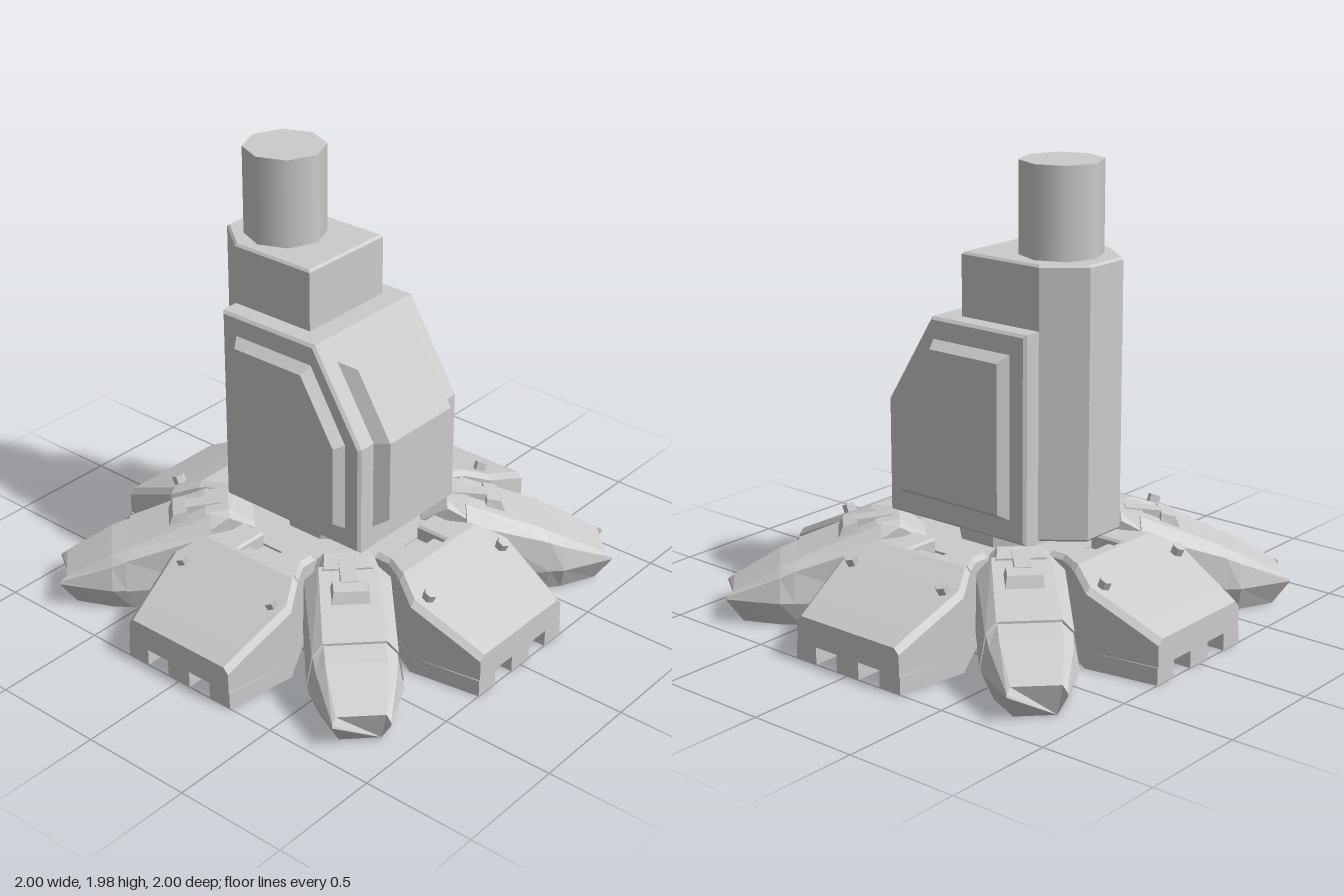
import * as THREE from 'three';

const grey = new THREE.MeshStandardMaterial({ color: 0xcccccc, flatShading: true });
const smooth = new THREE.MeshStandardMaterial({ color: 0xcccccc });

function add(parent, name, geometry, material = grey) {
  const mesh = new THREE.Mesh(geometry, material);
  mesh.name = name;
  parent.add(mesh);
  return mesh;
}

// Skin a list of equal-length closed rings of [x, y, z], capped at both ends.
function loft(rings) {
  const tris = [];
  const n = rings[0].length;
  for (let i = 0; i < rings.length - 1; i++) {
    const a = rings[i], b = rings[i + 1];
    for (let j = 0; j < n; j++) {
      const k = (j + 1) % n;
      tris.push([a[j], a[k], b[k]], [a[j], b[k], b[j]]);
    }
  }
  const first = rings[0], last = rings[rings.length - 1];
  for (let j = 1; j < n - 1; j++) {
    tris.push([first[0], first[j + 1], first[j]], [last[0], last[j], last[j + 1]]);
  }
  // Signed volume decides whether the faces point outward
  const v = (p) => new THREE.Vector3(...p);
  const volume = tris.reduce((s, [a, b, c]) => s + v(a).dot(v(b).cross(v(c))), 0);
  const points = tris.flatMap(([a, b, c]) => (volume < 0 ? [a, c, b] : [a, b, c]));
  const g = new THREE.BufferGeometry();
  g.setAttribute('position', new THREE.Float32BufferAttribute(points.flat(), 3));
  g.computeVertexNormals();
  return g;
}

function extrude(points, depth, bevel) {
  const shape = new THREE.Shape(points.map((p) => new THREE.Vector2(...p)));
  const g = new THREE.ExtrudeGeometry(shape, {
    depth: depth - 2 * bevel, bevelEnabled: bevel > 0, bevelThickness: bevel,
    bevelSize: bevel, bevelOffset: -bevel, bevelSegments: 1,
  });
  return g.translate(0, 0, bevel);
}

// Extrude a plan of [x, z] upward from y0 to y1
function plan(points, y0, y1, bevel = 0) {
  return extrude(points.map(([x, z]) => [x, -z]), y1 - y0, bevel)
    .rotateX(-Math.PI / 2).translate(0, y0, 0);
}

function box(x0, x1, y0, y1, z0, z1) {
  return new THREE.BoxGeometry(x1 - x0, y1 - y0, z1 - z0)
    .translate((x0 + x1) / 2, (y0 + y1) / 2, (z0 + z1) / 2);
}

// Foot section at distance z, spanning x = a..b, with chamfered top edges
function footRing([z, a, b, h, ca = 0.025, cb = 0.025]) {
  return [[a, 0.075, z], [b, 0.075, z], [b, h - cb, z], [b - cb, h, z], [a + ca, h, z], [a, h - ca, z]];
}

function createFoot() {
  const foot = new THREE.Group();
  foot.name = 'foot';
  add(foot, 'footTop', loft([
    [1.0, -0.28, 0.28, 0.19], [0.91, -0.295, 0.295, 0.235], [0.68, -0.335, 0.335, 0.345],
    [0.57, -0.272, 0.272, 0.395], [0.55, -0.26, 0.26, 0.395],
  ].map(footRing)));
  // Toothed sole with an open slot at the inner end
  const half = [[0.06, 1.0], [0.06, 0.88], [0.175, 0.88], [0.175, 1.0], [0.285, 1.0],
    [0.335, 0.68], [0.21, 0.46], [0.21, 0.39], [0.075, 0.39], [0.075, 0.55]];
  const mirrored = half.map(([x, z]) => [-x, z]).reverse();
  add(foot, 'sole', plan([...half, ...mirrored], 0, 0.075));
  for (const s of [-1, 1]) {
    const arm = [[0.55, 0.26], [0.46, 0.21], [0.39, 0.21]].map(([z, w]) =>
      footRing([z, 0.075, w, 0.395, 0.01, 0.02]).map(([x, y, d]) => [s * x, y, d]));
    add(foot, 'innerArm', loft(arm));
    const bolt = add(foot, 'bolt', new THREE.CylinderGeometry(0.028, 0.028, 0.06, 6));
    bolt.position.set(s * 0.25, 0.34, 0.705);
    bolt.rotation.x = 0.445;
  }
  add(foot, 'hubTongue', box(-0.073, 0.073, 0.05, 0.33, 0.3, 0.48));
  add(foot, 'slotFloor', box(-0.073, 0.073, 0.08, 0.37, 0.48, 0.555));
  return foot;
}

// Leg section: sole, widest line, shoulder and top, as [z, halfWidth, y]
function legRing(levels) {
  return [...levels.map(([z, w, y]) => [w, y, z]),
    ...levels.map(([z, w, y]) => [-w, y, z]).reverse()];
}

function createLeg() {
  const leg = new THREE.Group();
  leg.name = 'diagonalLeg';
  add(leg, 'legBody', loft([
    [[0.55, 0.15, 0], [0.55, 0.185, 0.11], [0.55, 0.18, 0.36], [0.55, 0.12, 0.425]],
    [[0.9, 0.16, 0], [0.92, 0.197, 0.11], [0.92, 0.175, 0.245], [0.9, 0.13, 0.29]],
  ].map(legRing)));
  add(leg, 'legToe', loft([
    [[0.9, 0.155, 0], [0.92, 0.192, 0.11], [0.92, 0.17, 0.24], [0.9, 0.125, 0.28]],
    [[0.98, 0.145, 0], [0.98, 0.192, 0.11], [0.98, 0.165, 0.215], [0.98, 0.125, 0.25]],
    [[1.14, 0.085, 0], [1.21, 0.117, 0.11], [1.205, 0.115, 0.12], [1.18, 0.1, 0.14]],
  ].map(legRing)));
  // Neck towards the hub
  add(leg, 'legNeck', loft([
    [[0.36, 0.07, 0.06], [0.36, 0.09, 0.11], [0.36, 0.09, 0.34], [0.36, 0.07, 0.36]],
    [[0.47, 0.09, 0.03], [0.47, 0.12, 0.11], [0.47, 0.12, 0.41], [0.47, 0.09, 0.44]],
    [[0.57, 0.12, 0.01], [0.57, 0.15, 0.11], [0.57, 0.15, 0.36], [0.57, 0.1, 0.425]],
  ].map(legRing)));
  // T-shaped clip on the top face
  add(leg, 'clipStem', loft([
    [[0.5, 0.04, 0.38], [0.5, 0.035, 0.44]], [[0.66, 0.04, 0.36], [0.66, 0.035, 0.42]],
  ].map(legRing)));
  add(leg, 'clipHead', loft([
    [[0.64, 0.09, 0.35], [0.65, 0.07, 0.42]], [[0.75, 0.09, 0.3], [0.71, 0.07, 0.405]],
  ].map(legRing)));
  return leg;
}

export function createModel() {
  const model = new THREE.Group();
  model.name = 'pedestalTower';

  // Base: four broad feet with four legs between them
  for (let i = 0; i < 4; i++) {
    const foot = createFoot();
    foot.rotation.y = i * Math.PI / 2;
    const leg = createLeg();
    leg.rotation.y = (i + 0.5) * Math.PI / 2;
    model.add(foot, leg);
  }
  const hub = add(model, 'hub', new THREE.CylinderGeometry(0.42, 0.44, 0.31, 8));
  hub.position.y = 0.185;
  hub.rotation.y = Math.PI / 8;
  const neck = add(model, 'neck', new THREE.CylinderGeometry(0.225, 0.225, 0.13, 8));
  neck.position.y = 0.385;
  neck.rotation.y = Math.PI / 8;

  // Tower housing with a sloped upper front
  const housing = [[0.385, 0.44], [0.385, 0.93], [0.14, 1.325], [-0.36, 1.325], [-0.36, 0.44]];
  add(model, 'housing', extrude(housing.map(([z, y]) => [-z, y]), 0.64, 0.012)
    .rotateY(Math.PI / 2).translate(-0.31, 0, 0));

  // Rear column with chamfered back corners
  add(model, 'column', plan([[-0.22, 0.045], [0.245, 0.045], [0.245, -0.36], [0.12, -0.52],
    [-0.095, -0.52], [-0.22, -0.36]], 0.44, 1.595, 0.01));

  // Raised panels on both sides
  const sideOuter = [[0.315, 0.53], [0.315, 0.93], [0.13, 1.24], [-0.285, 1.24], [-0.285, 0.53]];
  const sideInner = [[0.28, 0.565], [0.28, 0.92], [0.11, 1.2], [-0.25, 1.2], [-0.25, 0.565]];
  for (const s of [-1, 1]) {
    add(model, 'sidePanel', loft([
      sideOuter.map(([z, y]) => [0.01 + s * 0.31, y, z]),
      sideInner.map(([z, y]) => [0.01 + s * 0.365, y, z]),
    ]));
  }

  // Raised front panel folded over the slope
  const panelRing = (w, [low, fold, high]) => [[1, fold], [1, high], [-1, high], [-1, fold], [-1, low], [1, low]]
    .map(([s, [y, z]]) => [0.01 + s * w, y, z]);
  add(model, 'frontPanel', loft([
    panelRing(0.235, [[0.53, 0.38], [0.93, 0.38], [1.24, 0.188]]),
    panelRing(0.2, [[0.575, 0.447], [0.935, 0.447], [1.215, 0.275]]),
  ]));

  // Eight-sided mast
  const mast = add(model, 'mast', new THREE.CylinderGeometry(0.175, 0.175, 0.4, 8), smooth);
  mast.position.set(0.01, 1.78, -0.285);
  return model;
}
